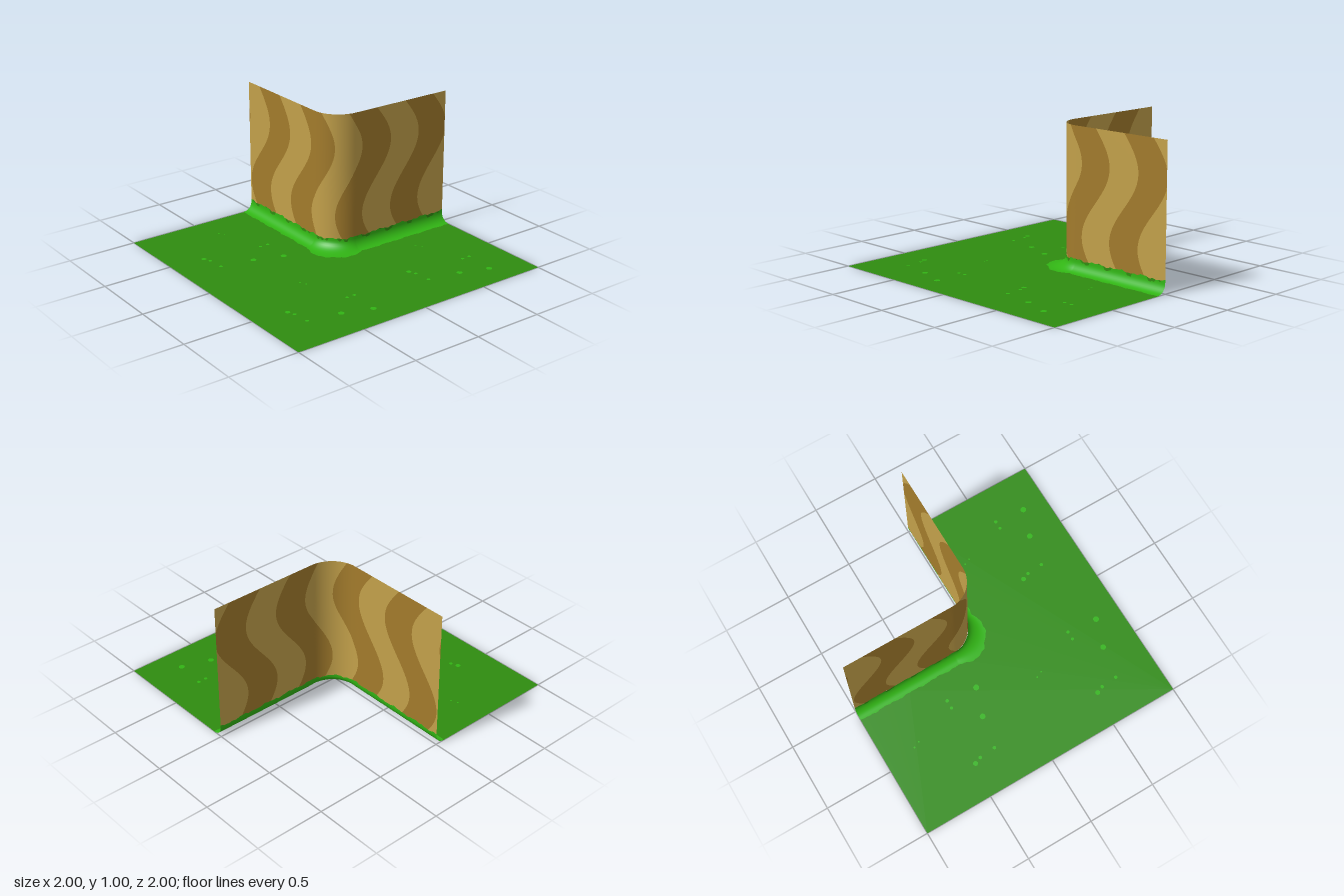
import * as THREE from 'three';

const R = 0.2;      // radius of the rounded cliff corner
const FILLET = 0.07; // radius of the grassy curve at the foot

const mat = (name, color) => {
  const m = new THREE.MeshStandardMaterial({ color, side: THREE.DoubleSide });
  m.name = name;
  return m;
};

// Point on the corner path: u runs -1..1 around the cliff, d is distance out from the wall
function pathPoint(u, d) {
  if (u <= -R) return [u, d];
  if (u >= R) return [d, -u];
  const a = ((u + R) / (2 * R)) * Math.PI / 2;
  const r = R + d * (1 + 0.8 * Math.sin(2 * a));
  return [-R + r * Math.sin(a), -R + r * Math.cos(a)];
}

// Smooth irregular wave, about -1..1
const ripple = (u, p) =>
  0.5 * Math.sin(31 * u + p) + 0.3 * Math.sin(67 * u + 2.3 * p) + 0.25 * Math.sin(118 * u + p * p);
const grassTop = (u) => 0.086 + 0.009 * ripple(u, 1.7);

// Bends a plane into a sheet; fn(s, t) gives [u, y, d]
function sheet(nu, nv, fn) {
  const geo = new THREE.PlaneGeometry(1, 1, nu, nv);
  const pos = geo.attributes.position;
  for (let i = 0; i < pos.count; i++) {
    const [u, y, d] = fn(pos.getX(i) + 0.5, pos.getY(i) + 0.5);
    const [x, z] = pathPoint(u, d);
    pos.setXYZ(i, x, y, z);
  }
  geo.computeVertexNormals();
  return geo;
}

export function createModel() {
  const group = new THREE.Group();
  const sand = mat('light sand', 0xc2a04a);
  const earth = mat('brown earth', 0xa27b2c);
  const grass = mat('grass', 0x2f8c10);
  const brightGrass = mat('bright grass', 0x31b414);
  const add = (name, geo, material) => {
    const mesh = new THREE.Mesh(geo, material);
    mesh.name = name;
    group.add(mesh);
    return mesh;
  };

  // Cliff wall made of wavy upright stripes
  const clampU = (u) => THREE.MathUtils.clamp(u, -1, 1);
  for (let k = -1; k < 9; k++) {
    const edge = (s, y) =>
      clampU(-1.115 + 0.25 * (k + s) - 0.125 * Math.sin(2 * Math.PI * y));
    const geo = sheet(20, 28, (s, t) => {
      const bottom = grassTop(edge(s, 0.085)) - 0.004;
      const y = THREE.MathUtils.lerp(bottom, 1, t);
      return [edge(s, y), y, 0];
    });
    add('cliffStripe', geo, k % 2 === 0 ? sand : earth);
  }

  // Bright grass curving from the wall onto the ground, ragged on both edges
  add('grassFoot', sheet(280, 12, (s, t) => {
    const u = s * 2 - 1;
    if (t > 0.85) return [u, grassTop(u), 0.001];
    if (t < 0.05) return [u, 0.002, 0.074 + 0.007 * ripple(u, 4.1)];
    const a = (1 - (t - 0.08) / 0.76) * Math.PI / 2;
    return [u, 0.002 + FILLET * (1 - Math.sin(a)), 0.001 + 0.066 * (1 - Math.cos(a))];
  }), brightGrass);

  // Darker tufts along the upper grass edge
  add('grassTufts', sheet(280, 1, (s, t) => {
    const u = s * 2 - 1;
    const h = Math.min(0.02, Math.max(0, 0.045 * ripple(u, 5.2)));
    return [u, grassTop(u) - h * (1 - t), 0.003];
  }), grass);

  // Flat L-shaped ground whose inner edge tucks under the grass foot
  const outline = [[-1, 1], [1, 1], [1, -1]];
  for (let i = 0; i <= 40; i++) outline.push(pathPoint(1 - i / 20, 0.06));
  const shape = new THREE.Shape(outline.map(([x, z]) => new THREE.Vector2(x, -z)));
  add('ground', new THREE.ShapeGeometry(shape).rotateX(-Math.PI / 2), grass);

  // Small bright patches, the same pattern on each ground tile: x, z, radius
  const spots = [
    [0.59, -0.74, 0.013], [0.59, -0.68, 0.012], [0.815, -0.72, 0.022],
    [0.745, -0.515, 0.021], [0.53, -0.25, 0.018], [0.58, -0.27, 0.013],
    [0.7, -0.28, 0.013], [0.225, -0.565, 0.007], [0.27, -0.585, 0.006],
  ];
  for (const [tx, tz] of [[0, 0], [0, 1], [-1, 1]]) {
    for (const [x, z, r] of spots) {
      const spot = add('grassPatch', new THREE.CircleGeometry(r, 9).rotateX(-Math.PI / 2), brightGrass);
      spot.position.set(x + tx, 0.002, z + tz);
    }
  }
  return group;
}
